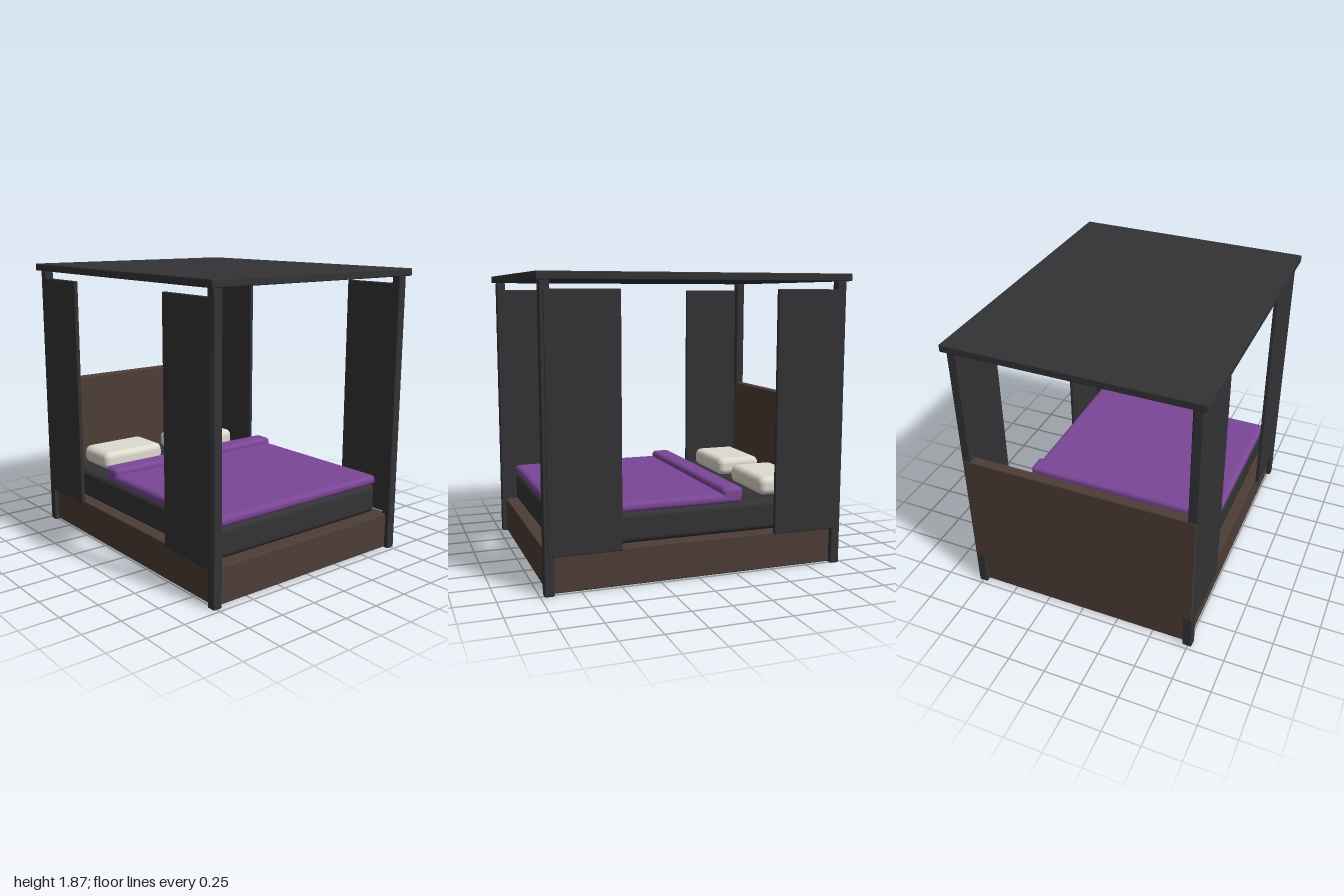
import * as THREE from 'three';
import { RoundedBoxGeometry } from 'three/addons/geometries/RoundedBoxGeometry.js';

const paint = (color) => new THREE.MeshStandardMaterial({ color });

// Soft-edged block given by its [min, max] extent on each axis
function block(name, [x0, x1], [y0, y1], [z0, z1], radius, material, segments = 3) {
  const geometry = new RoundedBoxGeometry(x1 - x0, y1 - y0, z1 - z0, segments, radius);
  const mesh = new THREE.Mesh(geometry, material);
  mesh.name = name;
  mesh.position.set((x0 + x1) / 2, (y0 + y1) / 2, (z0 + z1) / 2);
  return mesh;
}

export function createModel() {
  const bed = new THREE.Group();
  bed.name = 'canopyBed';

  const dark = paint(0x333336);
  const wood = paint(0x4d3d35);
  const purple = paint(0x7a4696);
  const cream = paint(0xdedace);

  // Wooden base and headboard
  bed.add(block('base', [-0.745, 0.745], [0.005, 0.24], [-0.947, 0.947], 0.008, wood));
  bed.add(block('headboard', [-0.775, 0.775], [0.23, 1.045], [-0.98, -0.915], 0.012, wood));

  // Mattress and covers
  bed.add(block('mattress', [-0.685, 0.685], [0.24, 0.44], [-0.88, 0.88], 0.04, dark, 4));
  bed.add(block('blanket', [-0.69, 0.69], [0.435, 0.5], [-0.32, 0.88], 0.03, purple, 4));
  bed.add(block('blanketFold', [-0.69, 0.69], [0.455, 0.54], [-0.325, -0.185], 0.03, purple, 4));

  // Flat roof over the posts
  bed.add(block('canopy', [-0.805, 0.805], [1.825, 1.872], [-1, 1], 0.006, dark));

  for (const side of [1, -1]) {
    const label = side > 0 ? 'left' : 'right';
    const span = (a, b) => (side > 0 ? [a, b] : [-b, -a]);

    bed.add(block(label + 'Pillow', span(0.09, 0.575), [0.435, 0.56], [-0.82, -0.5], 0.045, cream, 4));

    // Corner posts with a curtain panel hung beside each
    for (const end of [1, -1]) {
      const place = end > 0 ? 'Front' : 'Back';
      const depth = (a, b) => (end > 0 ? [a, b] : [-b, -a]);
      bed.add(block(label + place + 'Post', span(0.715, 0.776), [0, 1.826], depth(0.916, 0.977), 0.008, dark));
      bed.add(block(label + place + 'Curtain', span(0.753, 0.78), [0.235, 1.775], depth(0.503, 0.955), 0.006, dark));
    }
  }
  return bed;
}
